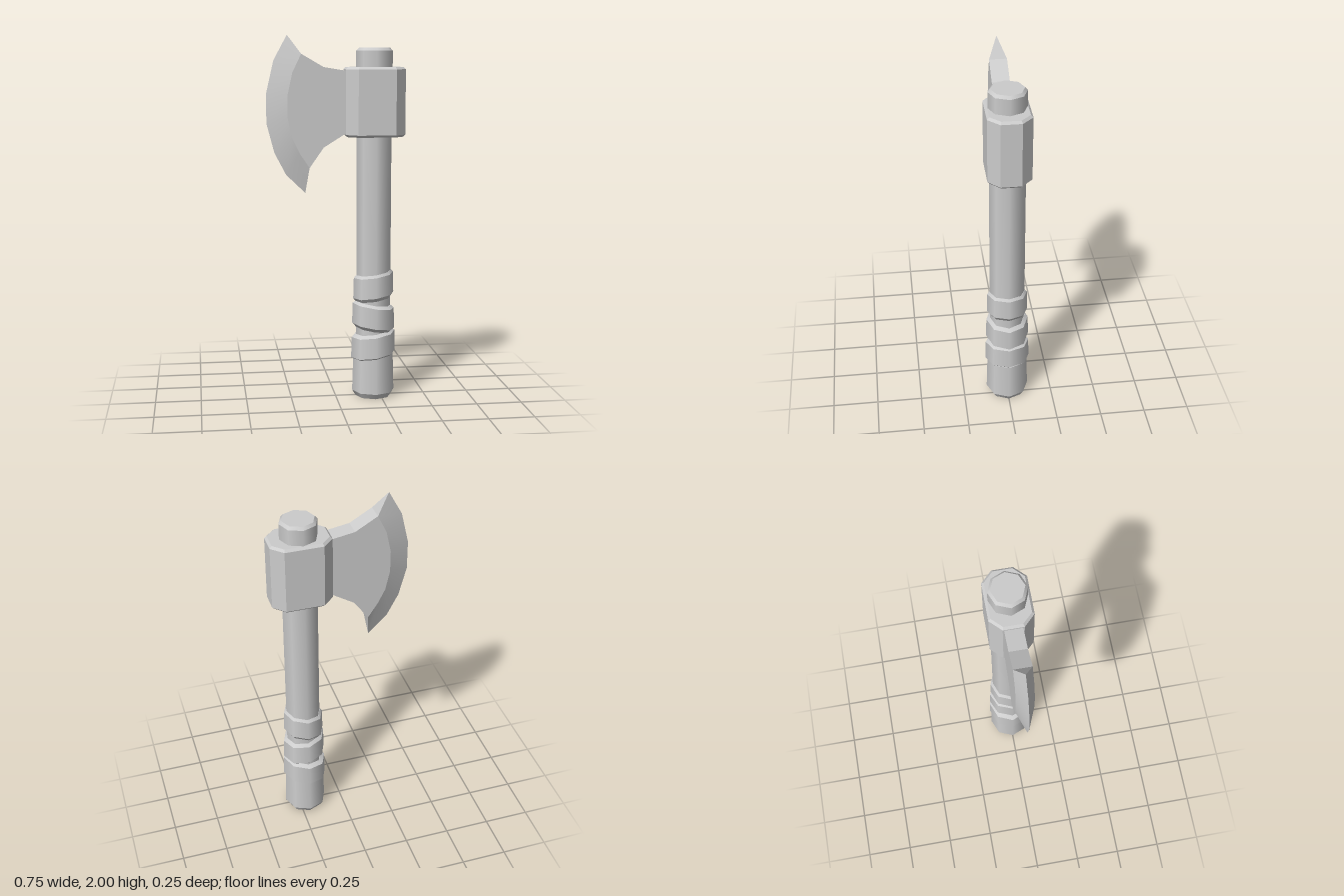
import * as THREE from 'three';
import { mergeGeometries } from 'three/addons/utils/BufferGeometryUtils.js';

const AXIS = 0.212; // x of the handle's centre line

// Eight-sided turned part: [radius, y] from bottom to top, smooth round, crisp between bands.
// tilt shears the whole part so that y rises with x.
function turned(profile, tilt = 0) {
  const bands = [];
  for (let i = 0; i < profile.length - 1; i++) {
    const [r0, y0] = profile[i], [r1, y1] = profile[i + 1];
    const g = new THREE.CylinderGeometry(r1, r0, y1 - y0, 8, 1, true);
    bands.push(g.translate(0, (y0 + y1) / 2, 0));
  }
  const [rb, yb] = profile[0], [rt, yt] = profile[profile.length - 1];
  bands.push(new THREE.CircleGeometry(rb, 8, Math.PI / 2).rotateX(Math.PI / 2).translate(0, yb, 0));
  bands.push(new THREE.CircleGeometry(rt, 8, Math.PI / 2).rotateX(-Math.PI / 2).translate(0, yt, 0));
  const geo = mergeGeometries(bands);
  const p = geo.attributes.position;
  for (let i = 0; i < p.count; i++) p.setY(i, p.getY(i) + tilt * p.getX(i));
  return geo.translate(AXIS, 0, 0);
}

const outline = (pts) => new THREE.Shape(pts.map(([x, y]) => new THREE.Vector2(x, y)));

export function createModel() {
  const group = new THREE.Group();
  const grey = new THREE.MeshStandardMaterial({ color: 0xcccccc });
  grey.name = 'plainGrey';
  const add = (name, geo) => {
    const mesh = new THREE.Mesh(geo, grey);
    mesh.name = name;
    group.add(mesh);
  };

  // Handle
  add('shaft', turned([[0.096, 0.2], [0.096, 1.5]]));
  add('shaftTop', turned([[0.1, 1.8], [0.1, 1.917], [0.086, 1.932]]));
  add('pommel', turned([[0.1, 0], [0.118, 0.03], [0.112, 0.24]]));

  // Grip wraps, tilted alternately: [bottom, top, radius, tilt]
  [
    [0.23, 0.36, 0.124, 0.15],
    [0.392, 0.522, 0.119, -0.15],
    [0.565, 0.695, 0.113, 0.15],
  ].forEach(([y0, y1, r, tilt], i) => {
    add('gripWrap' + (i + 1),
      turned([[0.098, y0 - 0.012], [r, y0 + 0.008], [r - 0.003, y1 - 0.008], [0.098, y1 + 0.006]], tilt));
  });

  // Bevelled socket around the handle
  const hx = 0.1625, hz = 0.114, c = 0.06, b = 0.012;
  const socket = new THREE.ExtrudeGeometry(outline([
    [hx - c, -hz], [hx, -hz + c], [hx, hz - c], [hx - c, hz],
    [-hx + c, hz], [-hx, hz - c], [-hx, -hz + c], [-hx + c, -hz],
  ]), { depth: 0.375 - 2 * b, bevelEnabled: true, bevelSize: b, bevelThickness: b, bevelOffset: -b, bevelSegments: 1 });
  add('socket', socket.rotateX(-Math.PI / 2).translate(AXIS, 1.455 + b, 0));

  // Blade: flat body, then a ground bevel running out to the cutting edge
  const t = 0.047;
  const inner = [[-0.19, 1.9], [-0.238, 1.8], [-0.264, 1.68], [-0.264, 1.56], [-0.24, 1.45], [-0.2, 1.37], [-0.147, 1.29]];
  const edge = [[-0.262, 2], [-0.335, 1.865], [-0.375, 1.69], [-0.375, 1.53], [-0.333, 1.37], [-0.27, 1.25], [-0.166, 1.15]];
  const body = new THREE.ExtrudeGeometry(
    outline([[0.07, 1.808], [0.05, 1.81], [-0.07, 1.83], ...inner, [-0.07, 1.4], [0.05, 1.475], [0.07, 1.488]]),
    { depth: 2 * t, bevelEnabled: false });
  add('bladeBody', body.translate(0, 0, -t));

  const surface = (points, index) => {
    const g = new THREE.BufferGeometry();
    g.setAttribute('position', new THREE.Float32BufferAttribute(points.flat(), 3));
    g.setIndex(index);
    g.computeVertexNormals();
    return g;
  };
  const bevels = [1, -1].map((s) => {
    const pts = [], idx = [];
    inner.forEach((p, i) => {
      pts.push([...p, s * t], [...edge[i], 0]);
      if (i === inner.length - 1) return;
      const a = 2 * i;
      if (s > 0) idx.push(a, a + 1, a + 3, a, a + 3, a + 2);
      else idx.push(a, a + 3, a + 1, a, a + 2, a + 3);
    });
    return surface(pts, idx);
  });
  // Small triangles closing the horns
  const horns = [[0, 1], [inner.length - 1, -1]].map(([i, s]) =>
    surface([[...inner[i], s * t], [...inner[i], -s * t], [...edge[i], 0]], [0, 1, 2]));
  add('bladeEdge', mergeGeometries([...bevels, ...horns]));

  return group;
}
